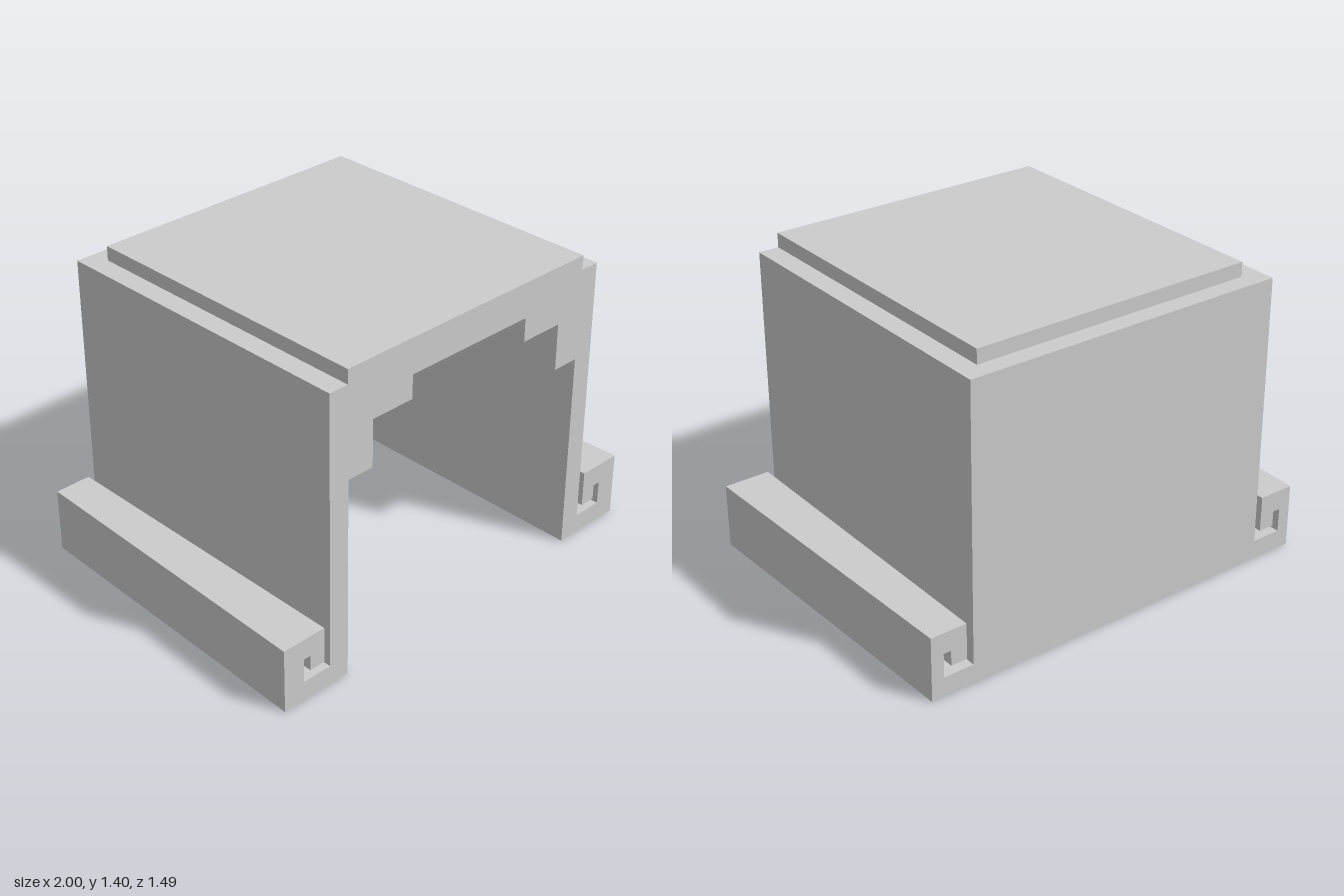
import * as THREE from 'three';

const FRONT = 0.745, BACK = -0.745, INNER_BACK = -0.52;
const material = new THREE.MeshStandardMaterial({ color: 0xcccccc, flatShading: true });

// Extrude an x/y outline between two depths.
function extrudeProfile(points, z0, z1) {
  const shape = new THREE.Shape(points.map(([x, y]) => new THREE.Vector2(x, y)));
  const geometry = new THREE.ExtrudeGeometry(shape, { depth: z1 - z0, bevelEnabled: false });
  return geometry.translate(0, 0, z0);
}

function boxBetween(x0, x1, y0, y1, z0, z1) {
  return new THREE.BoxGeometry(x1 - x0, y1 - y0, z1 - z0)
    .translate((x0 + x1) / 2, (y0 + y1) / 2, (z0 + z1) / 2);
}

export function createModel() {
  const model = new THREE.Group();
  const add = (name, geometry) => {
    const mesh = new THREE.Mesh(geometry, material);
    mesh.name = name;
    model.add(mesh);
  };

  // Vault: outer walls with a stepped arch cut through from the front
  const half = [
    [0.757, 0], [0.757, 1.335], // outer wall
  ];
  const arch = [
    [0.66, 0], [0.66, 0.92], [0.532, 0.92], [0.532, 1.133], [0.322, 1.133], [0.322, 1.24],
  ];
  const mirror = (points) => points.map(([x, y]) => [-x, y]).reverse();
  add('archedBody', extrudeProfile(
    [...half, ...mirror(half), ...arch.map(([x, y]) => [-x, y]), ...[...arch].reverse()],
    INNER_BACK, FRONT));

  // Closed rear of the vault
  add('backWall', boxBetween(-0.757, 0.757, 0, 1.335, BACK, INNER_BACK));

  // Raised roof slab, flush with the front and set back on the other sides
  add('roofSlab', boxBetween(-0.665, 0.665, 1.335, 1.4, -0.66, FRONT));

  // Hooked side rails, their outer faces narrowing toward the back
  const hook = [
    [0.757, 0], [1, 0], [1, 0.295], [0.788, 0.295], [0.788, 0.13], [0.863, 0.13],
    [0.863, 0.2], [0.898, 0.2], [0.898, 0.09], [0.757, 0.09],
  ];
  for (const [name, side] of [['leftRail', 1], ['rightRail', -1]]) {
    const geometry = extrudeProfile(hook.map(([x, y]) => [side * x, y]), BACK, FRONT);
    const position = geometry.attributes.position;
    for (let i = 0; i < position.count; i++) {
      if (Math.abs(position.getX(i)) > 0.99 && position.getZ(i) < 0) position.setX(i, side * 0.957);
    }
    geometry.computeVertexNormals();
    add(name, geometry);
  }

  return model;
}
